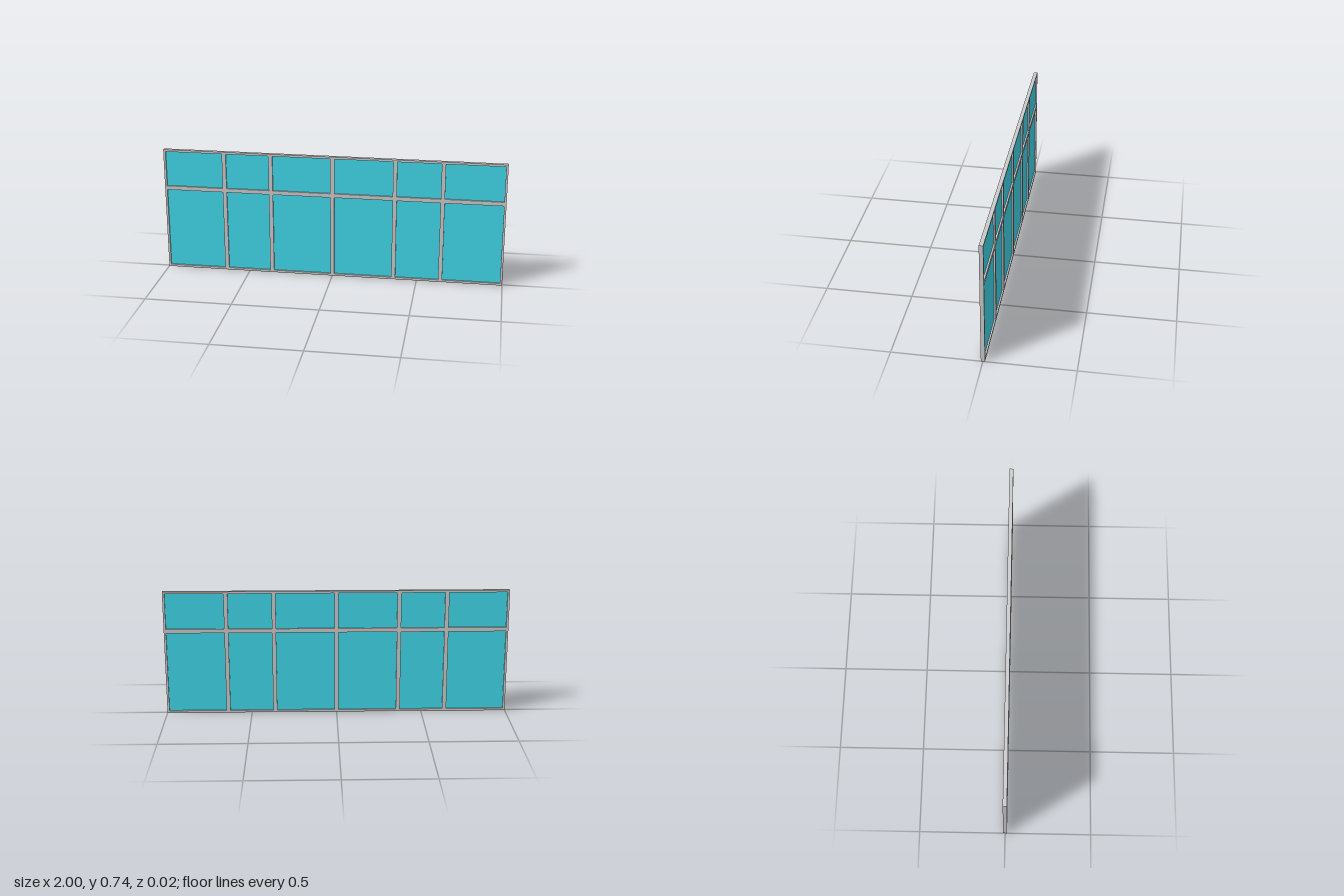
import * as THREE from 'three';

const W = 2, H = 0.737, D = 0.0225;  // overall size
const EDGE = 0.0125;                 // outer frame width
const BAR = 0.0235;                  // mullion and transom width
const GLASS = 0.004;                 // pane thickness

// Rectangle from two corners, added to a shape or path
function rect(path, x0, y0, x1, y1) {
  path.moveTo(x0, y0);
  path.lineTo(x1, y0);
  path.lineTo(x1, y1);
  path.lineTo(x0, y1);
  path.closePath();
  return path;
}

// Clear spans between the two edges, divided by bars at the given centres
function spans(start, end, centres) {
  const lows = [start + EDGE, ...centres.map((c) => c + BAR / 2)];
  const highs = [...centres.map((c) => c - BAR / 2), end - EDGE];
  return lows.map((low, i) => [low, highs[i]]);
}

export function createModel() {
  const group = new THREE.Group();
  group.name = 'windowWall';
  const frameMaterial = new THREE.MeshStandardMaterial({ color: 0xcccccc });
  const glassMaterial = new THREE.MeshStandardMaterial({ color: 0x40d9eb });

  const columns = spans(-W / 2, W / 2, [-0.639, -0.363, 0, 0.363, 0.639]);
  const rows = spans(0, H, [0.502]);

  // Frame with one opening per pane, glass set mid-depth in each
  const frameShape = rect(new THREE.Shape(), -W / 2, 0, W / 2, H);
  const panes = new THREE.Group();
  panes.name = 'glassPanes';
  for (const [y0, y1] of rows) {
    for (const [x0, x1] of columns) {
      frameShape.holes.push(rect(new THREE.Path(), x0, y0, x1, y1));
      const pane = new THREE.Mesh(new THREE.BoxGeometry(x1 - x0, y1 - y0, GLASS), glassMaterial);
      pane.position.set((x0 + x1) / 2, (y0 + y1) / 2, 0);
      pane.name = 'glassPane';
      panes.add(pane);
    }
  }

  const frameGeometry = new THREE.ExtrudeGeometry(frameShape, { depth: D, bevelEnabled: false });
  frameGeometry.translate(0, 0, -D / 2);
  const frame = new THREE.Mesh(frameGeometry, frameMaterial);
  frame.name = 'frame';

  group.add(frame, panes);
  return group;
}
